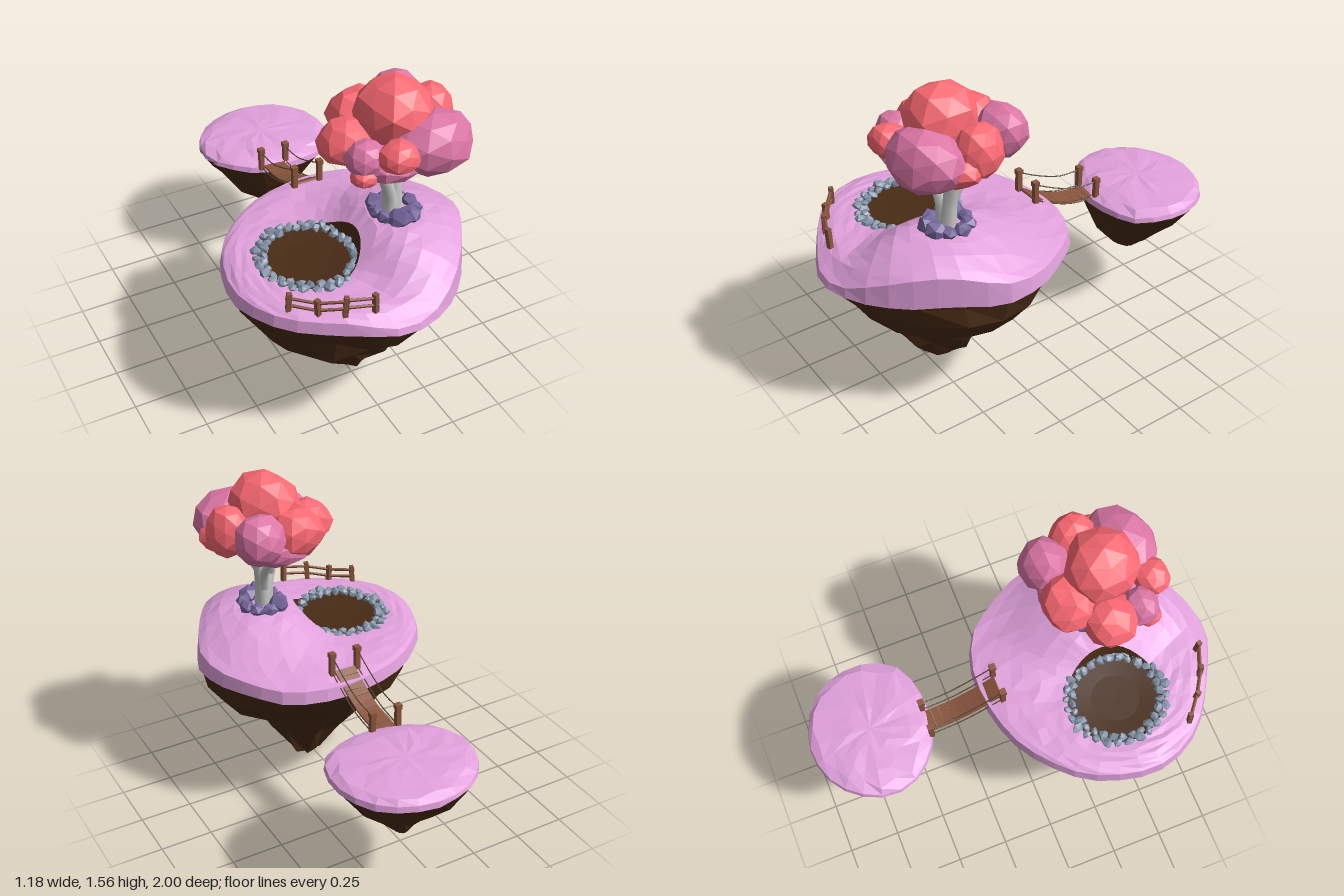
import * as THREE from 'three';

const V = (x, y, z) => new THREE.Vector3(x, y, z);
const mat = (color, flatShading = true) => new THREE.MeshStandardMaterial({ color, flatShading, roughness: 0.9 });
const GRASS = mat(0xe2a2dd), SOIL = mat(0x482b15), RED = mat(0xff6a74), PINK = mat(0xdc76a6);
const ROCK = mat(0x75659a), STONE = mat(0x8797ab), WOOD = mat(0x8a563e), ROPE = mat(0x5c4835);
const BARK = mat(0xcccccc, false);

// repeatable noise in -1..1
const noise = (a, b, c) => {
  const s = Math.sin(a * 12.9898 + b * 78.233 + c * 37.719) * 43758.5453;
  return 2 * (s - Math.floor(s)) - 1;
};

function add(parent, name, geometry, material) {
  const m = new THREE.Mesh(geometry, material);
  m.name = name;
  parent.add(m);
  return m;
}

function group(parent, name) {
  const g = new THREE.Group();
  g.name = name;
  parent.add(g);
  return g;
}

// skin over closed rings, listed from inside/top to outside/bottom
function loft(rings) {
  const n = rings[0].length, index = [];
  for (let i = 0; i < rings.length - 1; i++) for (let j = 0; j < n; j++) {
    const a = i * n + j, b = i * n + (j + 1) % n;
    index.push(a, b, a + n, b, b + n, a + n);
  }
  const g = new THREE.BufferGeometry().setFromPoints(rings.flat());
  g.setIndex(index);
  g.computeVertexNormals();
  return g;
}

const outline = (pts, n) => new THREE.CatmullRomCurve3(pts.map(([x, z]) => V(x, 0, z)), true)
  .getSpacedPoints(n).slice(0, n);
const collapse = (ring, x, y, z) => ring.map(() => V(x, y, z));
const shrink = (ring, c, s, y) => ring.map(p => V(c.x + (p.x - c.x) * s, y, c.z + (p.z - c.z) * s));

// soil cone: outline fitted into [y, xMin, xMax, zMin, zMax] per level, turning into an ellipse further down
function soilCone(ring, levels, jitter) {
  const { min, max } = new THREE.Box3().setFromPoints(ring);
  const rings = levels.map(([y, x0, x1, z0, z1], k) => ring.map((p, j) => {
    let u = (p.x - min.x) / (max.x - min.x) - 0.5, w = (p.z - min.z) / (max.z - min.z) - 0.5;
    if (k > 1) {
      const r = 0.5 / Math.hypot(u, w);
      u *= r;
      w *= r;
    }
    const d = k > 1 && k < levels.length - 1 ? jitter : 0;
    return V((x0 + x1) / 2 + u * (x1 - x0) + d * noise(k, j, 1), y + d * noise(k, j, 2),
      (z0 + z1) / 2 + w * (z1 - z0) + d * noise(k, j, 3));
  }));
  const [y, x0, x1, z0, z1] = levels.at(-1);
  rings.push(collapse(ring, (x0 + x1) / 2, y, (z0 + z1) / 2));
  return loft(rings);
}

// faceted lump with a flattened underside
function lump(parent, name, material, [x, y, z], [rx, ry, rz], detail, seed, amp) {
  const g = new THREE.IcosahedronGeometry(1, detail), p = g.attributes.position;
  for (let i = 0; i < p.count; i++) {
    const q = [p.getX(i), p.getY(i), p.getZ(i)].map(v => Math.round(v * 100) / 100 + 0);
    const s = 1 + amp * noise(q[0] + seed, q[1], q[2]);
    p.setXYZ(i, p.getX(i) * s * rx, Math.max(p.getY(i) * s, -0.85) * ry, p.getZ(i) * s * rz);
  }
  g.computeVertexNormals();
  const m = add(parent, name, g, material);
  m.position.set(x, y, z);
  return m;
}

// tube tapering from r0 to r1
function limb(parent, name, pts, r0, r1, material, sides = 8) {
  const curve = new THREE.CatmullRomCurve3(pts.map(p => V(...p))), n = 10;
  const g = new THREE.TubeGeometry(curve, n, 1, sides), pos = g.attributes.position, v = V(0, 0, 0);
  for (let i = 0; i < pos.count; i++) {
    const t = Math.floor(i / (sides + 1)) / n, c = curve.getPointAt(t);
    v.fromBufferAttribute(pos, i).sub(c).multiplyScalar(r0 + (r1 - r0) * t).add(c);
    pos.setXYZ(i, v.x, v.y, v.z);
  }
  return add(parent, name, g, material);
}

function post(parent, name, x, y0, y1, z, w, tilt = 0) {
  const m = add(parent, name, new THREE.BoxGeometry(w, y1 - y0, w), WOOD);
  m.position.set(x, (y0 + y1) / 2, z);
  m.rotation.set(0, tilt * 5, tilt);
}

// ground height: flat meadow with a broad hill under the tree
function ground(x, z, t) {
  const dx = (x - 0.2) * (x < 0.2 ? 1.35 : 0.82), dz = (z - 0.55) * (z < 0.55 ? 0.75 : 0.95);
  const hill = 0.143 * Math.exp(-((Math.hypot(dx, dz) / 0.3) ** 3.4));
  return 0.732 + hill - 0.025 * t ** 4 - 0.035 * THREE.MathUtils.smoothstep(z, 0.88, 1);
}

function mainIsland(root) {
  const g = group(root, 'mainIsland'), c = V(0, 0, 0.42), pond = V(-0.2, 0, 0.435);
  const rim = outline([[0.59, 0.4], [0.47, 0.65], [0.32, 0.85], [0.16, 0.965], [-0.02, 1.0], [-0.23, 0.91],
    [-0.47, 0.75], [-0.57, 0.59], [-0.59, 0.43], [-0.51, 0.17], [-0.39, 0.03], [-0.23, -0.085], [0, -0.15],
    [0.2, -0.15], [0.38, -0.075], [0.5, 0.085], [0.57, 0.22]], 34);
  const top = shrink(rim, c, 0.98, 0);
  const hole = top.map(p => {
    const a = Math.atan2(p.z - pond.z, p.x - pond.x);
    return V(pond.x + 0.228 * Math.cos(a), 0, pond.z + 0.232 * Math.sin(a));
  });
  // meadow from the pond edge out to the rim, then the hanging lip
  const rings = [0, 0.14, 0.3, 0.46, 0.62, 0.78, 0.91, 1].map((t, k) => top.map((p, j) => {
    const q = hole[j].clone().lerp(p, t + (k % 7 ? 0.025 * noise(k, j, 9) : 0));
    return q.setY(ground(q.x, q.z, t) + (k % 7 ? 0.004 * noise(k, j, 5) : 0));
  }));
  const lip = rim.map((p, j) => V(p.x, 0.65 + 0.008 * noise(j >> 1, 2, 7), p.z));
  add(g, 'grass', loft([...rings, lip, shrink(rim, c, 0.9, 0.66)]), GRASS);
  // dry pond bed
  add(g, 'pondBed', loft([collapse(hole, pond.x, 0.712, pond.z), shrink(hole, pond, 0.5, 0.714),
    shrink(hole, pond, 0.9, 0.722), rings[0]]), SOIL);
  const stones = group(g, 'pondStones');
  for (let i = 0; i < 56; i++) {
    const a = i / 56 * Math.PI * 2, r = 0.212 + (i % 2 ? 0.015 : -0.013), s = 0.024 + 0.006 * noise(i, 3, 1);
    const m = lump(stones, 'pondStone', STONE, [pond.x + r * Math.cos(a), 0.733 + 0.006 * noise(i, 1, 1),
      pond.z + r * Math.sin(a) * 1.05], [s * 1.15, s * 0.85, s * 0.9], 0, i, 0.25);
    m.rotation.set(0.5 * noise(i, 2, 2), i * 2, 0.5 * noise(i, 4, 2));
  }
  add(g, 'soil', soilCone(outline(rim.map(p => [p.x, p.z]), 18), [[0.665, -0.57, 0.575, -0.14, 0.98],
    [0.63, -0.555, 0.565, -0.13, 0.97], [0.52, -0.525, 0.53, -0.055, 0.885], [0.41, -0.45, 0.45, 0.05, 0.81],
    [0.3, -0.355, 0.275, 0.14, 0.7], [0.18, -0.18, 0.2, 0.235, 0.62], [0.04, -0.05, 0.12, 0.3, 0.5],
    [0, -0.01, 0.06, 0.36, 0.44]], 0.016), SOIL);
}

function smallIsland(root) {
  const g = group(root, 'smallIsland'), c = V(0.11, 0, -0.7);
  const rim = outline([[0.455, -0.63], [0.38, -0.47], [0.19, -0.405], [-0.02, -0.425], [-0.18, -0.55], [-0.225, -0.68],
    [-0.195, -0.81], [-0.07, -0.95], [0.13, -1], [0.33, -0.93], [0.43, -0.81]], 22);
  const lip = rim.map((p, j) => V(p.x, 0.593 + 0.006 * noise(j >> 1, 4, 2), p.z));
  const meadow = [[0.3, 0.652], [0.6, 0.646], [0.85, 0.636], [0.98, 0.616]].map(([s, y], k) => rim.map((p, j) => {
    const f = k < 3 ? s + 0.07 * noise(k, j, 4) : s;
    return V(c.x + (p.x - c.x) * f, y + 0.004 * noise(k, j, 8), c.z + (p.z - c.z) * f);
  }));
  add(g, 'grass', loft([collapse(rim, c.x, 0.653, c.z), ...meadow, lip, shrink(rim, c, 0.92, 0.6)]), GRASS);
  add(g, 'soil', soilCone(outline(rim.map(p => [p.x, p.z]), 14), [[0.605, -0.22, 0.45, -0.99, -0.412],
    [0.575, -0.21, 0.44, -0.985, -0.418], [0.46, -0.13, 0.36, -0.915, -0.455], [0.375, -0.05, 0.28, -0.815, -0.5],
    [0.3, 0.02, 0.2, -0.755, -0.565], [0.24, 0.08, 0.14, -0.71, -0.645]], 0.01), SOIL);
}

function bridge(root) {
  const g = group(root, 'bridge');
  const deck = x => [[x, 0.738, -0.066], [x, 0.682, -0.17], [x, 0.636, -0.29], [x, 0.617, -0.435]];
  const sag = new THREE.CatmullRomCurve3(deck(0.053).map(p => V(...p)));
  const n = 10;
  for (let i = 0; i < n; i++) {
    const t = (i + 0.5) / n, d = sag.getTangentAt(t);
    const m = add(g, 'plank', new THREE.BoxGeometry(0.105, 0.009, 0.038 + 0.002 * noise(i, 2, 2)), WOOD);
    m.position.copy(sag.getPointAt(t));
    m.rotation.set(Math.atan2(d.y, -d.z), 0.03 * noise(i, 1, 4), 0);
  }
  for (const x of [-0.014, 0.119]) {
    for (const [y, z] of [[0.72, -0.066], [0.605, -0.432]]) {
      post(g, 'bridgePost', x, y, y + 0.118, z, 0.024);
      post(g, 'postCap', x, y + 0.098, y + 0.122, z, 0.03);
    }
    limb(g, 'handRope', [[x, 0.825, -0.066], [x, 0.765, -0.18], [x, 0.715, -0.31], [x, 0.706, -0.432]], 0.003, 0.003, ROPE, 5);
    limb(g, 'deckRope', deck(x), 0.003, 0.003, ROPE, 5);
  }
}

function fence(root) {
  const g = group(root, 'fence');
  const spots = [[-0.435, 0.71, 0.81, 0.71], [-0.34, 0.7, 0.8, 0.79], [-0.24, 0.705, 0.82, 0.85], [-0.122, 0.725, 0.825, 0.89]];
  spots.forEach(([x, y0, y1, z], i) => {
    post(g, 'fencePost', x, y0, y1, z, 0.022, 0.06 * (i % 2 ? 1 : -1));
    const next = spots[i + 1];
    if (next) for (const drop of [0.022, 0.06]) {
      limb(g, 'fenceRail', [[x - 0.012, y1 - drop, z - 0.008], [next[0] + 0.012, next[2] - drop, next[3] + 0.008]],
        0.008, 0.007, WOOD, 5);
    }
  });
}

function tree(root) {
  const g = group(root, 'tree');
  // trunks and branches
  [[[[0.18, 0.84, 0.48], [0.178, 0.96, 0.48], [0.13, 1.08, 0.5], [0.04, 1.22, 0.53]], 0.042, 0.014],
    [[[0.205, 0.84, 0.475], [0.21, 0.98, 0.465], [0.228, 1.1, 0.45], [0.24, 1.26, 0.44]], 0.042, 0.02],
    [[[0.205, 0.96, 0.46], [0.22, 1.08, 0.4], [0.25, 1.22, 0.24]], 0.026, 0.01],
    [[[0.155, 1.02, 0.485], [0.155, 1.1, 0.45], [0.13, 1.24, 0.38]], 0.022, 0.012],
    [[[0.22, 1.06, 0.46], [0.255, 1.12, 0.475], [0.32, 1.23, 0.52]], 0.022, 0.011],
    [[[0.12, 1.09, 0.5], [0.085, 1.13, 0.48], [0.03, 1.2, 0.44]], 0.017, 0.009]
  ].forEach(([pts, r0, r1]) => limb(g, 'branch', pts, r0, r1, BARK));
  // crown
  [[RED, [0.18, 1.385, 0.475], [0.168, 0.167, 0.17]],
    [PINK, [0.285, 1.295, 0.62], [0.195, 0.135, 0.15]],
    [RED, [0.39, 1.32, 0.43], [0.105, 0.125, 0.115]],
    [PINK, [0.31, 1.32, 0.26], [0.12, 0.125, 0.12]],
    [RED, [-0.025, 1.28, 0.44], [0.13, 0.1, 0.125]],
    [RED, [0.09, 1.31, 0.68], [0.095, 0.072, 0.085]],
    [PINK, [-0.015, 1.28, 0.585], [0.09, 0.08, 0.09]],
    [RED, [-0.04, 1.215, 0.62], [0.06, 0.045, 0.06]],
    [PINK, [0.11, 1.23, 0.57], [0.17, 0.07, 0.15]],
    [RED, [0.11, 1.3, 0.3], [0.14, 0.125, 0.135]],
    [PINK, [0.19, 1.235, 0.31], [0.16, 0.075, 0.13]],
    [RED, [0.4, 1.26, 0.52], [0.09, 0.07, 0.1]]
  ].forEach(([m, p, r], i) => lump(g, 'foliage', m, p, r, 1, i + 1, 0.07));
  // rocks around the foot
  for (let i = 0; i < 9; i++) {
    const a = i / 9 * Math.PI * 2 + 0.5, r = 0.09, s = 0.046 + 0.013 * noise(i, 6, 2);
    const x = 0.21 + r * Math.cos(a), z = 0.475 + r * Math.sin(a);
    lump(g, 'rock', ROCK, [x, ground(x, z, 0) + 0.013, z], [s * 1.1, s * 0.9, s], 0, i + 30, 0.15).rotation.y = i;
  }
}

export function createModel() {
  const root = new THREE.Group();
  root.name = 'floatingIslands';
  [mainIsland, smallIsland, bridge, fence, tree].forEach(build => build(root));
  return root;
}
